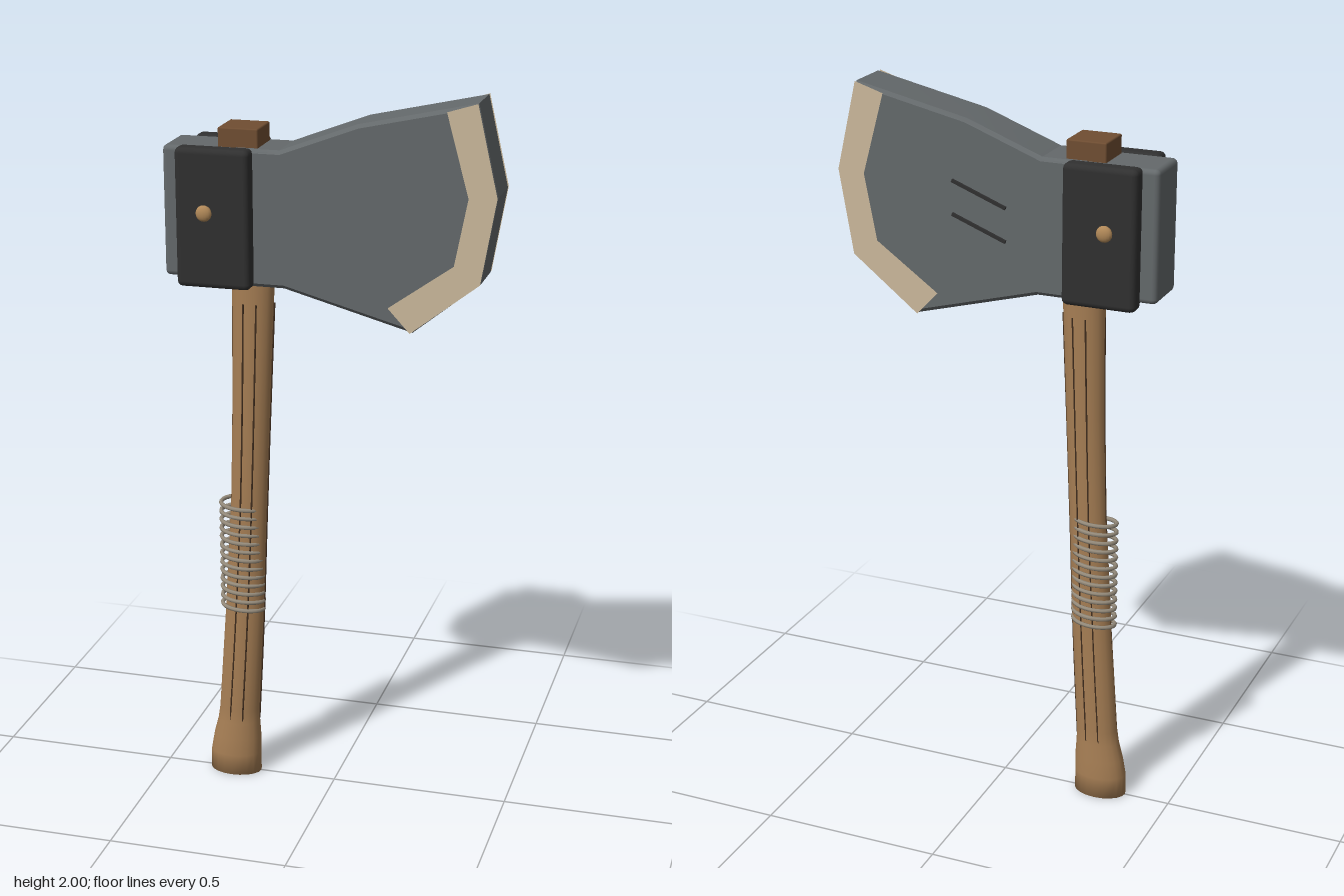
import * as THREE from 'three';
import { mergeVertices, toCreasedNormals } from 'three/addons/utils/BufferGeometryUtils.js';
import { RoundedBoxGeometry } from 'three/addons/geometries/RoundedBoxGeometry.js';

const material = (name, color) => Object.assign(new THREE.MeshStandardMaterial({ color }), { name });

// Handle cross-sections, bottom to top: [y, centre x, half width x, half width z]
const SECTIONS = [
  [0, -0.295, 0.075, 0.05], [0.06, -0.295, 0.074, 0.05], [0.11, -0.29, 0.07, 0.047],
  [0.16, -0.285, 0.062, 0.042], [0.2, -0.282, 0.059, 0.04], [0.5, -0.263, 0.056, 0.038],
  [0.85, -0.245, 0.052, 0.037], [1.15, -0.234, 0.054, 0.038], [1.48, -0.225, 0.059, 0.04],
  [1.84, -0.235, 0.055, 0.04],
];

// Wire wound round the grip
class Coil extends THREE.Curve {
  getPoint(t, target = new THREE.Vector3()) {
    const a = t * 13 * Math.PI * 2;
    return target.set(-0.267 + 0.06 * Math.cos(a), 0.515 + 0.33 * t, 0.043 * Math.sin(a));
  }
}

export function createModel() {
  const group = new THREE.Group();
  group.name = 'axe';
  const steel = material('steel', 0x64696b);
  const edge = material('honed edge', 0xcbb99c);
  edge.side = THREE.DoubleSide;
  const iron = material('dark iron', 0x303030);
  const wood = material('wood', 0xa67e54);
  const wedgeWood = material('wedge wood', 0x704e32);
  const grain = material('grain', 0x443020);
  const wire = material('wire', 0x968c7c);
  const rivetMetal = material('rivet metal', 0xb08858);

  const add = (name, geometry, mat, x = 0, y = 0, z = 0) => {
    const mesh = new THREE.Mesh(geometry, mat);
    mesh.name = name;
    mesh.position.set(x, y, z);
    group.add(mesh);
    return mesh;
  };
  const shape = (points) => new THREE.Shape(points.map(([x, y]) => new THREE.Vector2(x, y)));

  // Handle: an elliptical column following the sections, smooth over its butt
  const column = new THREE.CylinderGeometry(1, 1, SECTIONS.length - 1, 20, SECTIONS.length - 1);
  const pos = column.attributes.position;
  for (let i = 0; i < pos.count; i++) {
    const row = Math.round(pos.getY(i) + (SECTIONS.length - 1) / 2);
    const [y, cx, rx, rz] = SECTIONS[row];
    pos.setXYZ(i, cx + pos.getX(i) * rx, y, pos.getZ(i) * rz);
  }
  column.deleteAttribute('normal');
  column.deleteAttribute('uv');
  const handle = mergeVertices(column);
  handle.computeVertexNormals();
  add('handle', handle, wood);

  // Grain lines running up the handle, partly sunk into it
  for (const degrees of [0, 72, 108, 180, 252, 288]) {
    const a = THREE.MathUtils.degToRad(degrees);
    const points = SECTIONS.slice(4, 9).map(([y, cx, rx, rz]) =>
      new THREE.Vector3(cx + Math.cos(a) * rx, y === 1.48 ? 1.42 : y - 0.03, Math.sin(a) * rz * 0.99));
    add('grainLine', new THREE.TubeGeometry(new THREE.CatmullRomCurve3(points), 20, 0.0025, 5), grain);
  }

  add('gripWire', new THREE.TubeGeometry(new Coil(), 364, 0.006, 6), wire);

  // Blade with chamfered rims
  const bevel = 0.01;
  const blade = new THREE.ExtrudeGeometry(shape([
    [-0.25, 1.48], [-0.12, 1.48], [0.23, 1.385], [0.41, 1.53], [0.45, 1.76],
    [0.395, 2.0], [0.08, 1.93], [-0.13, 1.85], [-0.25, 1.85],
  ]), {
    depth: 0.146 - 2 * bevel, bevelEnabled: true, bevelThickness: bevel,
    bevelSize: bevel, bevelOffset: -bevel, bevelSegments: 1,
  });
  blade.translate(0, 0, -0.073 + bevel);
  add('blade', toCreasedNormals(blade, 0.3), steel);

  // Poll behind the handle
  add('poll', new RoundedBoxGeometry(0.3, 0.354, 0.146, 2, 0.014), steel, -0.3, 1.672, 0);

  // Honed edge faces, cheek plates and rivets on both sides
  const strip = new THREE.ShapeGeometry(shape([
    [0.225, 1.385], [0.41, 1.53], [0.45, 1.76], [0.395, 2.0],
    [0.315, 1.975], [0.375, 1.755], [0.34, 1.575], [0.165, 1.45],
  ]));
  for (const side of [1, -1]) {
    add('honedEdge', strip, edge, 0, 0, side * 0.0745);
    add('cheekPlate', new RoundedBoxGeometry(0.204, 0.376, 0.054, 2, 0.016), iron, -0.303, 1.665, side * 0.0855);
    const rivet = add('rivet', new THREE.SphereGeometry(0.022, 16, 10), rivetMetal, -0.322, 1.683, side * 0.119);
    rivet.scale.z = 0.55;
  }

  // Slanted scratches on the back of the blade
  for (const y of [1.65, 1.74]) {
    const scratch = add('scratch', new THREE.BoxGeometry(0.162, 0.008, 0.008), iron, 0.036, y, -0.092);
    scratch.rotation.z = 0.37;
  }

  // Wedge in the top of the head
  add('wedge', new RoundedBoxGeometry(0.11, 0.1, 0.112, 1, 0.004), wedgeWood, -0.246, 1.85, 0);

  return group;
}
